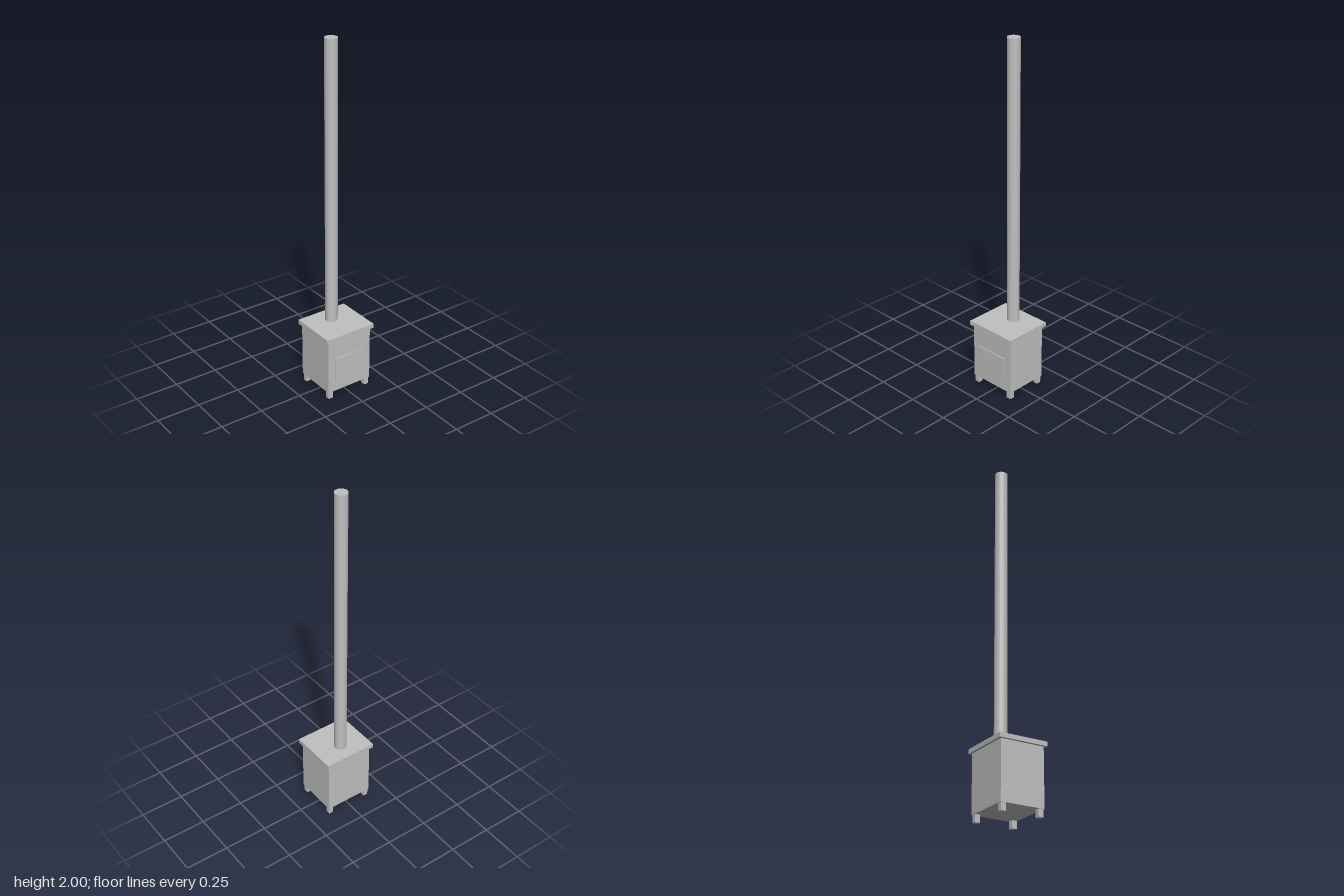
import * as THREE from 'three';

export function createModel() {
  const model = new THREE.Group();
  model.name = 'stove';
  const metal = new THREE.MeshStandardMaterial({ color: 0xc0c0c0 });
  metal.name = 'grey metal';

  const add = (name, geometry, x, y, z) => {
    const mesh = new THREE.Mesh(geometry, metal);
    mesh.name = name;
    mesh.position.set(x, y, z);
    model.add(mesh);
  };
  // Box given by its size, bottom height and centre in x and z
  const box = (name, w, h, d, x, bottom, z) =>
    add(name, new THREE.BoxGeometry(w, h, d), x, bottom + h / 2, z);

  // Firebox, overhanging top plate and thin door
  box('firebox', 0.282, 0.323, 0.252, 0, 0.042, 0);
  box('topPlate', 0.312, 0.025, 0.28, 0, 0.365, 0);
  box('door', 0.194, 0.135, 0.006, 0, 0.113, 0.129);

  // Four short square legs
  for (const x of [-1, 1]) {
    for (const z of [-1, 1]) {
      box('leg', 0.028, 0.042, 0.028, x * 0.123, 0, z * 0.108);
    }
  }

  // Tall chimney pipe, set towards the back
  add('chimneyPipe', new THREE.CylinderGeometry(0.035, 0.035, 1.61, 48), 0, 1.195, -0.042);

  return model;
}
